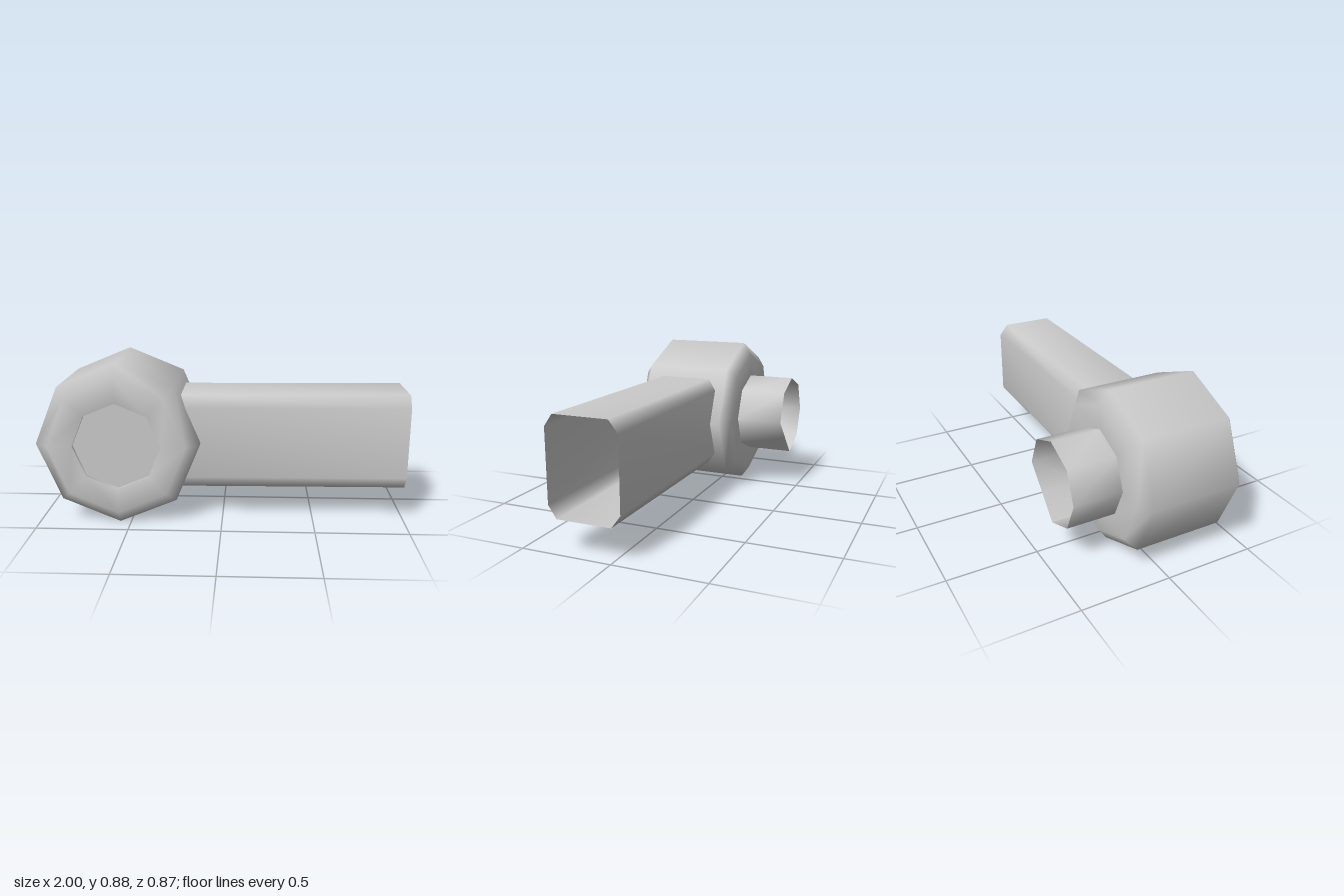
import * as THREE from 'three';

const material = new THREE.MeshStandardMaterial({ color: 0xcccccc, side: THREE.DoubleSide });
const SIDES = 8, CX = -0.56, CY = 0.442, BORE = 0.237;

function addMesh(group, name, geometry) {
  const mesh = new THREE.Mesh(geometry, material);
  mesh.name = name;
  group.add(mesh);
  return mesh;
}

// Eight-sided turned part along z; profile points are [radius, z]
function turned(profile) {
  const points = profile.map(([r, z]) => new THREE.Vector2(r, z));
  return new THREE.LatheGeometry(points, SIDES).rotateX(Math.PI / 2).translate(CX, CY, 0);
}

// Hollow arm: chamfered rectangle swept along x, open at the end
function armGeometry() {
  const section = [[0.335, 0.25], [0.335, 0.64], [0.29, 0.703], [-0.01, 0.703],
    [-0.06, 0.64], [-0.06, 0.25], [-0.01, 0.183], [0.29, 0.183]];
  const positions = [], index = [];
  for (const [x, lift] of [[-0.23, -0.006], [1, 0.002]]) {
    for (const [z, y] of section) positions.push(x, y + lift, z);
  }
  for (let i = 0; i < SIDES; i++) {
    const j = (i + 1) % SIDES;
    index.push(i, i + SIDES, j, j, i + SIDES, j + SIDES);
  }
  const geometry = new THREE.BufferGeometry();
  geometry.setAttribute('position', new THREE.Float32BufferAttribute(positions, 3));
  geometry.setIndex(index);
  geometry.computeVertexNormals();
  return geometry;
}

export function createModel() {
  const group = new THREE.Group();
  group.name = 'pipeJoint';

  // Chamfered drum with a shallow recess in front
  addMesh(group, 'drum', turned([
    [BORE, -0.165], [0.372, -0.165], [0.442, -0.115], [0.442, 0.385],
    [0.372, 0.435], [BORE, 0.435], [BORE, 0.41],
  ]));

  // Flat floors of the front recess and the rear spout
  for (const [name, z, turn] of [['frontFloor', 0.41, 0], ['spoutFloor', -0.165, Math.PI]]) {
    const floor = addMesh(group, name, new THREE.CircleGeometry(BORE, SIDES));
    floor.position.set(CX, CY, z);
    floor.rotation.y = turn;
  }

  // Open rear spout, its lower left rim corner flattened
  const spout = turned([[BORE, -0.435], [BORE, -0.165]]);
  const p = spout.attributes.position;
  for (let i = 0; i < p.count; i++) {
    const dx = p.getX(i) - CX, dy = p.getY(i) - CY;
    if (p.getZ(i) < -0.4 && dx > 0.1 && dy < -0.1) p.setXY(i, CX + BORE / 2, CY - BORE / 2);
  }
  spout.computeVertexNormals();
  addMesh(group, 'rearSpout', spout);

  addMesh(group, 'sideArm', armGeometry());
  return group;
}
